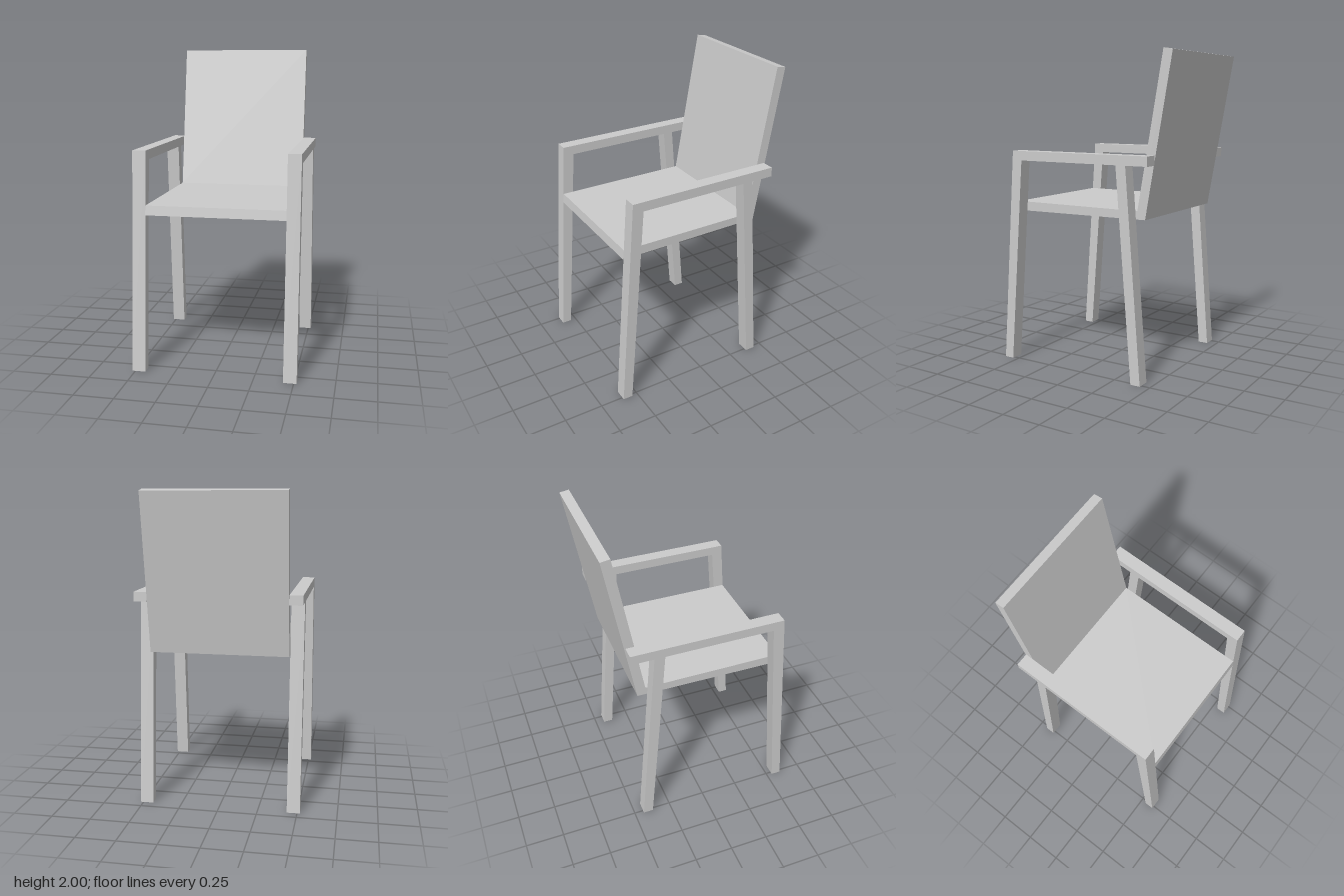
import * as THREE from 'three';

const material = new THREE.MeshStandardMaterial({ color: 0xcccccc, flatShading: true });

// Extrudes a side profile of [z, y] points across x, centred on x = cx
function sidePanel(name, points, width, cx) {
  const shape = new THREE.Shape(points.map(([z, y]) => new THREE.Vector2(z, y)));
  const geometry = new THREE.ExtrudeGeometry(shape, { depth: width, bevelEnabled: false });
  geometry.translate(0, 0, -width / 2).rotateY(-Math.PI / 2).translate(cx, 0, 0);
  const mesh = new THREE.Mesh(geometry, material);
  mesh.name = name;
  return mesh;
}

export function createModel() {
  const chair = new THREE.Group();
  chair.name = 'armchair';

  // Seat and leaning backrest, as one bent panel
  chair.add(sidePanel('seatAndBackrest', [
    [0.533, 0.99], [0.525, 1.05], [-0.372, 1.05], [-0.54, 2.0], [-0.6, 1.99], [-0.425, 1.0],
  ], 0.87, 0));

  // Side frames: splayed front and rear legs joined by an armrest
  const frame = [
    [0.6, 0], [0.503, 1.385], [-0.485, 1.385], [-0.485, 1.325], [-0.337, 1.325],
    [-0.44, 0], [-0.375, 0], [-0.27, 1.325], [0.435, 1.325], [0.537, 0],
  ];
  for (const [side, name] of [[1, 'leftFrame'], [-1, 'rightFrame']]) {
    chair.add(sidePanel(name, frame, 0.083, side * 0.4765));
  }
  return chair;
}
